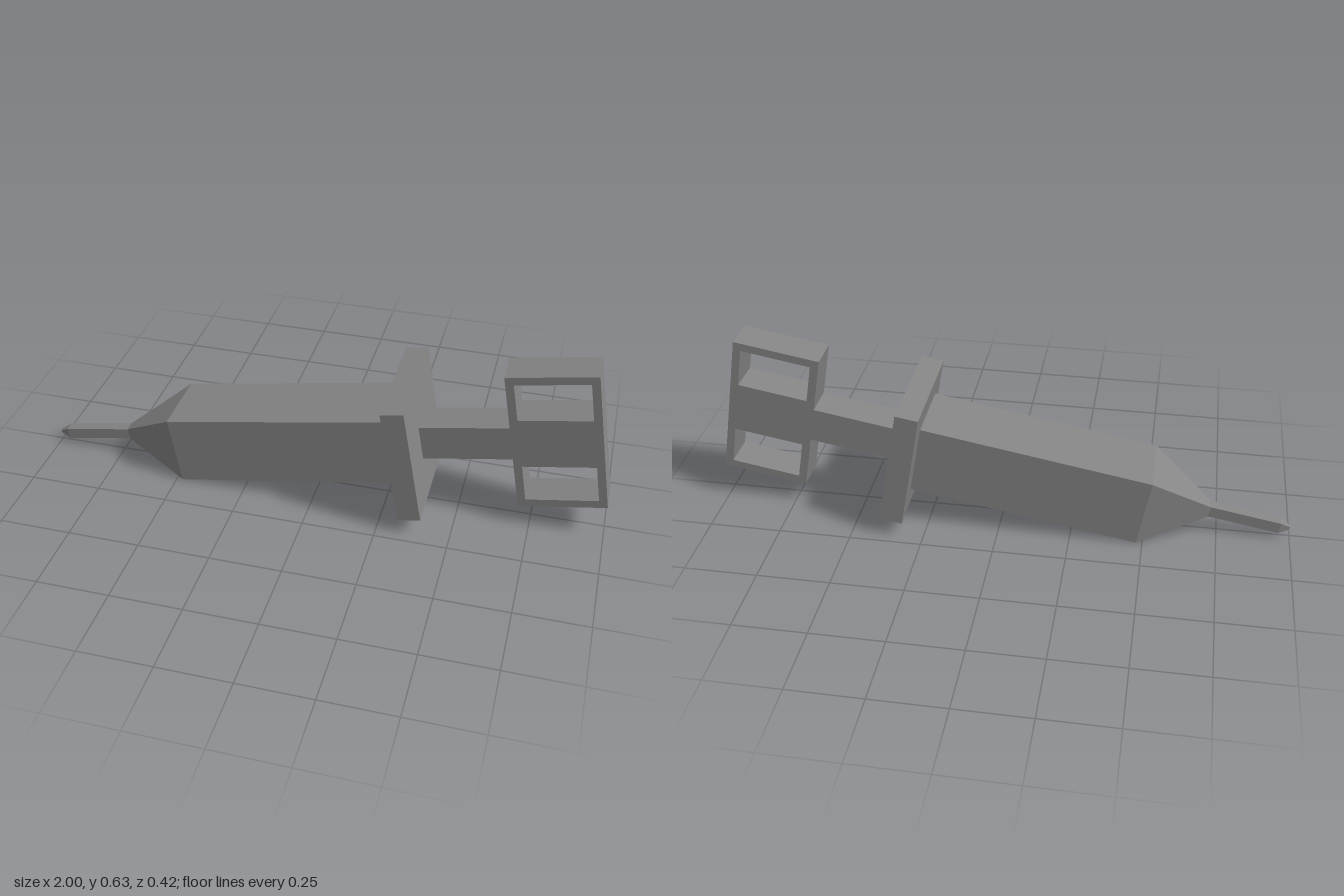
import * as THREE from 'three';

const material = new THREE.MeshStandardMaterial({ color: 0x858585, flatShading: true });

// Square-section loft along +x from [position, halfWidth] pairs
function squareLoft(sections) {
  const profile = sections.map(([u, h]) => new THREE.Vector2(h * Math.SQRT2, u));
  return new THREE.LatheGeometry(profile, 4, Math.PI / 4).rotateZ(-Math.PI / 2);
}

// Box spanning u0..u1 along the axis
function axisBox(u0, u1, height, depth) {
  return new THREE.BoxGeometry(u1 - u0, height, depth).translate((u0 + u1) / 2, 0, 0);
}

function rectangle(PathType, u0, v0, u1, v1) {
  return new PathType([[u0, v0], [u1, v0], [u1, v1], [u0, v1]].map(p => new THREE.Vector2(...p)));
}

export function createModel() {
  const group = new THREE.Group();
  group.name = 'syringe';

  // Everything is laid out along x, then tilted as one
  const body = new THREE.Group();
  body.name = 'syringeBody';
  body.position.set(-0.5, 0.122, 0);
  body.rotation.z = THREE.MathUtils.degToRad(10);
  group.add(body);

  const add = (name, geometry) => {
    const mesh = new THREE.Mesh(geometry, material);
    mesh.name = name;
    body.add(mesh);
  };

  // Needle with a short pointed tip
  add('needle', squareLoft([[-0.508, 0], [-0.507, 0.005], [-0.471, 0.02], [-0.224, 0.02]]));
  // Taper from needle to barrel
  add('nozzle', squareLoft([[-0.224, 0.02], [0, 0.124]]));
  add('barrel', squareLoft([[0, 0.124], [0.798, 0.124]]));
  add('fingerFlange', axisBox(0.798, 0.877, 0.423, 0.424));
  add('plungerRod', axisBox(0.877, 1.18, 0.124, 0.124));

  // Handle plate with a finger opening on each side of the rod
  const handle = rectangle(THREE.Shape, 1.18, -0.255, 1.478, 0.255);
  for (const s of [1, -1]) {
    handle.holes.push(rectangle(THREE.Path, 1.208, s * 0.091, 1.451, s * 0.227));
  }
  add('plungerHandle', new THREE.ExtrudeGeometry(handle, { depth: 0.124, bevelEnabled: false })
    .translate(0, 0, -0.062));

  return group;
}
